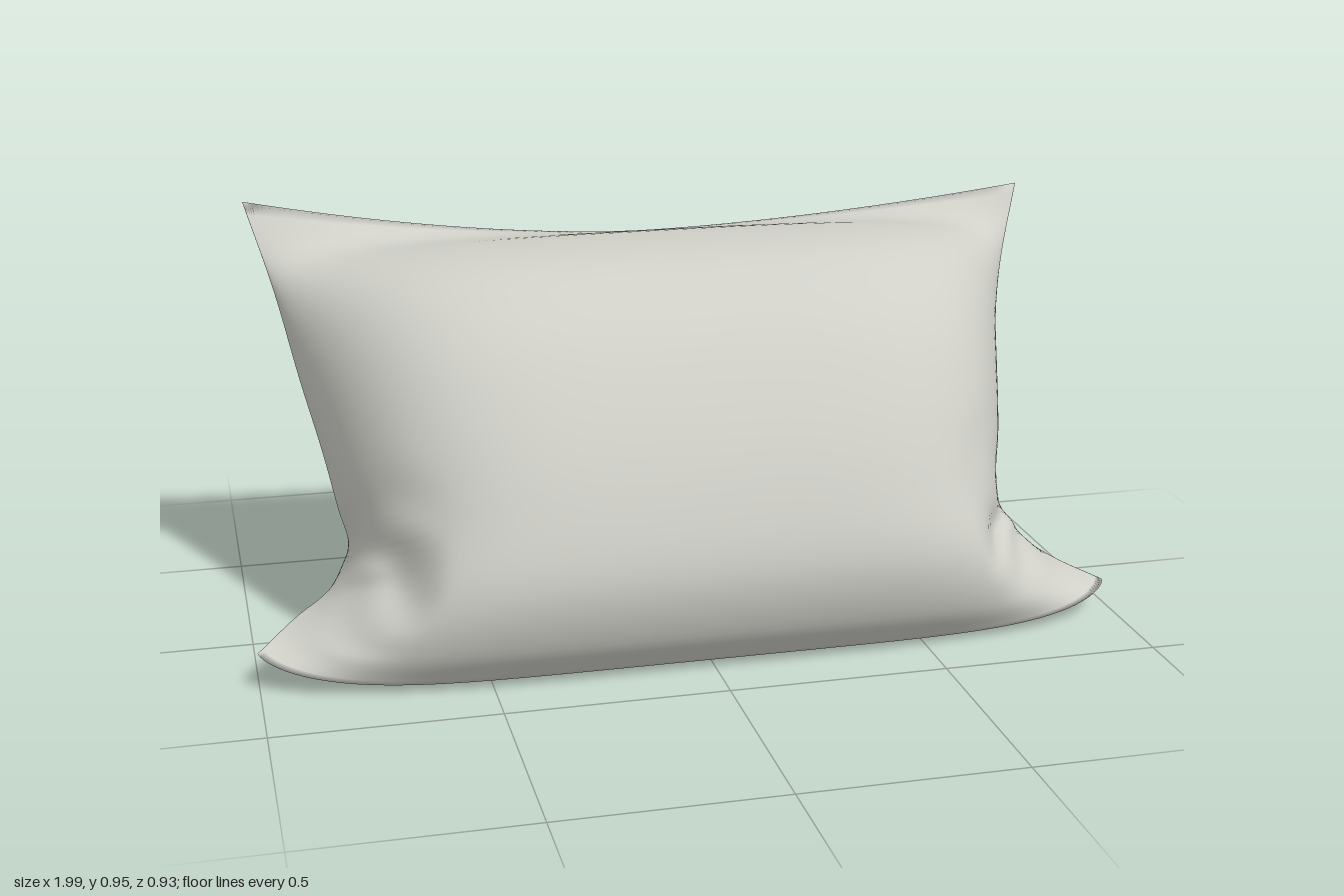
import * as THREE from 'three';
import { mergeVertices } from 'three/addons/utils/BufferGeometryUtils.js';

const curve = (pts) => new THREE.CatmullRomCurve3(pts.map((p) => new THREE.Vector3(...p)));

// Middle section of the cushion, top seam to bottom seam: front sheet and back sheet
const front = curve([[0, .838, -.385], [0, .872, -.21], [0, .855, .01], [0, .765, .175], [0, .61, .31],
  [0, .42, .415], [0, .25, .462], [0, .11, .43], [0, .02, .36]]);
const back = curve([[0, .838, -.385], [0, .74, -.445], [0, .61, -.465], [0, .46, -.466], [0, .32, -.462],
  [0, .17, -.41], [0, .03, -.27], [0, .008, .12], [0, .02, .36]]);

// Side seams, from upper corner through the pinch to lower corner
const seamMiddle = [[.85, .57, -.19], [.815, .43, -.10], [.79, .31, -.04], [.77, .21, -.02], [.82, .15, .05]];
const leftSeam = curve([[.98, .905, -.40], [.91, .74, -.30], ...seamMiddle, [.90, .10, .13], [.99, .07, .23]]);
const rightSeam = curve([[.95, .96, -.37], [.895, .77, -.28], ...seamMiddle, [.91, .12, .14], [1.0, .09, .25]]);

const bell = (x, centre, width) => Math.exp(-(((x - centre) / width) ** 2));
const mix = THREE.MathUtils.lerp;

function surfacePoint(u, s, isFront) {
  const a = Math.abs(u);
  const p = (isFront ? front : back).getPoint(s);
  const seam = (u < 0 ? rightSeam : leftSeam).getPoint(s);
  // Sheets stay full in the middle and close onto the seam, tapering to points at the corners
  const top = bell(s, 0, .1), bottom = bell(s, 1, .2);
  const base = mix(4.6, 5.6, THREE.MathUtils.smoothstep(s, .5, .85));
  const close = 1 - Math.pow(1 - Math.pow(a, mix(base, 1.7, top)), .5 + .5 * top + .2 * bottom);
  p.lerp(seam, close);
  p.x = seam.x * u;
  // Pinched fold above each lower corner, with uneven creases
  const end = THREE.MathUtils.smoothstep(a, .74, .94) * (1 - close);
  const dent = end * bell(s, .74, .075) * (isFront ? .45 : .18);
  const crease = end * bell(s, .72, .13) * .028 * Math.sin(s * 40 + a * 24 + Math.sin(s * 23 + u * 9));
  p.y += (.2 - p.y) * dent + crease * .4;
  p.z += -p.z * dent + crease * (isFront ? 1 : -.6);
  p.y = Math.max(p.y, .006);
  return p;
}

export function createModel() {
  const group = new THREE.Group();
  group.name = 'cushion';
  const fabric = new THREE.MeshStandardMaterial({ color: 0xcfcfc8 });
  fabric.name = 'pale grey fabric';

  // Closed loops around the cushion, lofted from side to side
  const columns = 96, rows = 56, loop = rows * 2;
  const positions = [], index = [];
  for (let i = 0; i <= columns; i++) {
    const u = Math.sin((i / columns - .5) * Math.PI);
    for (let j = 0; j < loop; j++) {
      const isFront = j <= rows;
      const s = isFront ? j / rows : (loop - j) / rows;
      positions.push(...surfacePoint(u, s, isFront).toArray());
      if (i === columns) continue;
      const a = i * loop + j, b = i * loop + ((j + 1) % loop);
      index.push(a, b, a + loop, b, b + loop, a + loop);
    }
  }
  let geometry = new THREE.BufferGeometry();
  geometry.setAttribute('position', new THREE.Float32BufferAttribute(positions, 3));
  geometry.setIndex(index);
  geometry = mergeVertices(geometry, 1e-5);
  geometry.computeVertexNormals();

  const cover = new THREE.Mesh(geometry, fabric);
  cover.name = 'cushionCover';
  group.add(cover);
  return group;
}
